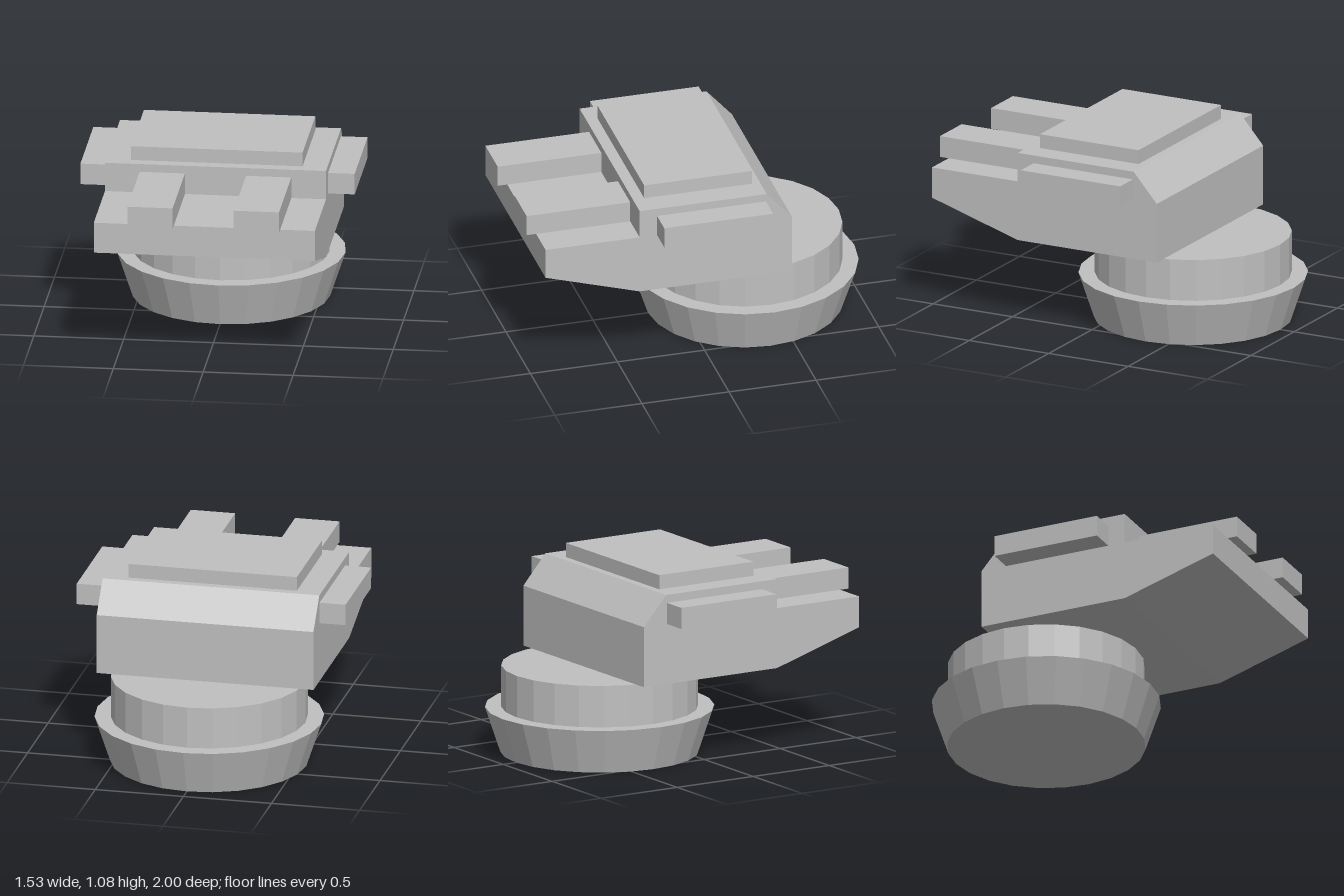
import * as THREE from 'three';

export function createModel() {
  const model = new THREE.Group();
  model.name = 'turret';
  const grey = new THREE.MeshStandardMaterial({ color: 0xc0c0c0, flatShading: true });
  grey.name = 'light grey';

  const add = (name, geometry, x = 0, y = 0, z = 0) => {
    const mesh = new THREE.Mesh(geometry, grey);
    mesh.name = name;
    mesh.position.set(x, y, z);
    model.add(mesh);
    return mesh;
  };
  // Box given by its minimum and maximum corners
  const addBox = (name, [x0, y0, z0], [x1, y1, z1]) =>
    add(name, new THREE.BoxGeometry(x1 - x0, y1 - y0, z1 - z0),
      (x0 + x1) / 2, (y0 + y1) / 2, (z0 + z1) / 2);

  // Flared base and the round neck above it
  const axisZ = -0.365;
  add('flaredBase', new THREE.CylinderGeometry(0.635, 0.55, 0.255, 24), 0, 0.1275, axisZ);
  add('neck', new THREE.CylinderGeometry(0.545, 0.545, 0.235, 24), 0, 0.3725, axisZ);

  // Main body: side profile (z, y) extruded across the width
  const halfWidth = 0.615;
  const profile = [
    [0.405, 0.49], [0.945, 0.655], [0.945, 0.83], [0.405, 0.83],
    [0.405, 0.995], [-0.325, 0.995], [-0.47, 0.83], [-0.47, 0.49],
  ];
  const body = new THREE.ExtrudeGeometry(
    new THREE.Shape(profile.map(([z, y]) => new THREE.Vector2(z, y))),
    { depth: halfWidth * 2, bevelEnabled: false });
  body.rotateY(-Math.PI / 2).translate(halfWidth, 0, 0);
  add('body', body);

  // Raised roof plate
  addBox('roofPlate', [-0.477, 0.995, -0.28], [0.477, 1.075, 0.34]);

  // Mirrored side pods and front barrels
  for (const [side, s] of [['left', 1], ['right', -1]]) {
    const pod = addBox(side + 'SidePod', [0.615, 0.83, -0.32], [0.763, 0.95, 0.305]);
    const barrel = addBox(side + 'Barrel', [0.17, 0.83, 0.405], [0.422, 0.95, 1.0]);
    pod.position.x *= s;
    barrel.position.x *= s;
  }
  return model;
}
